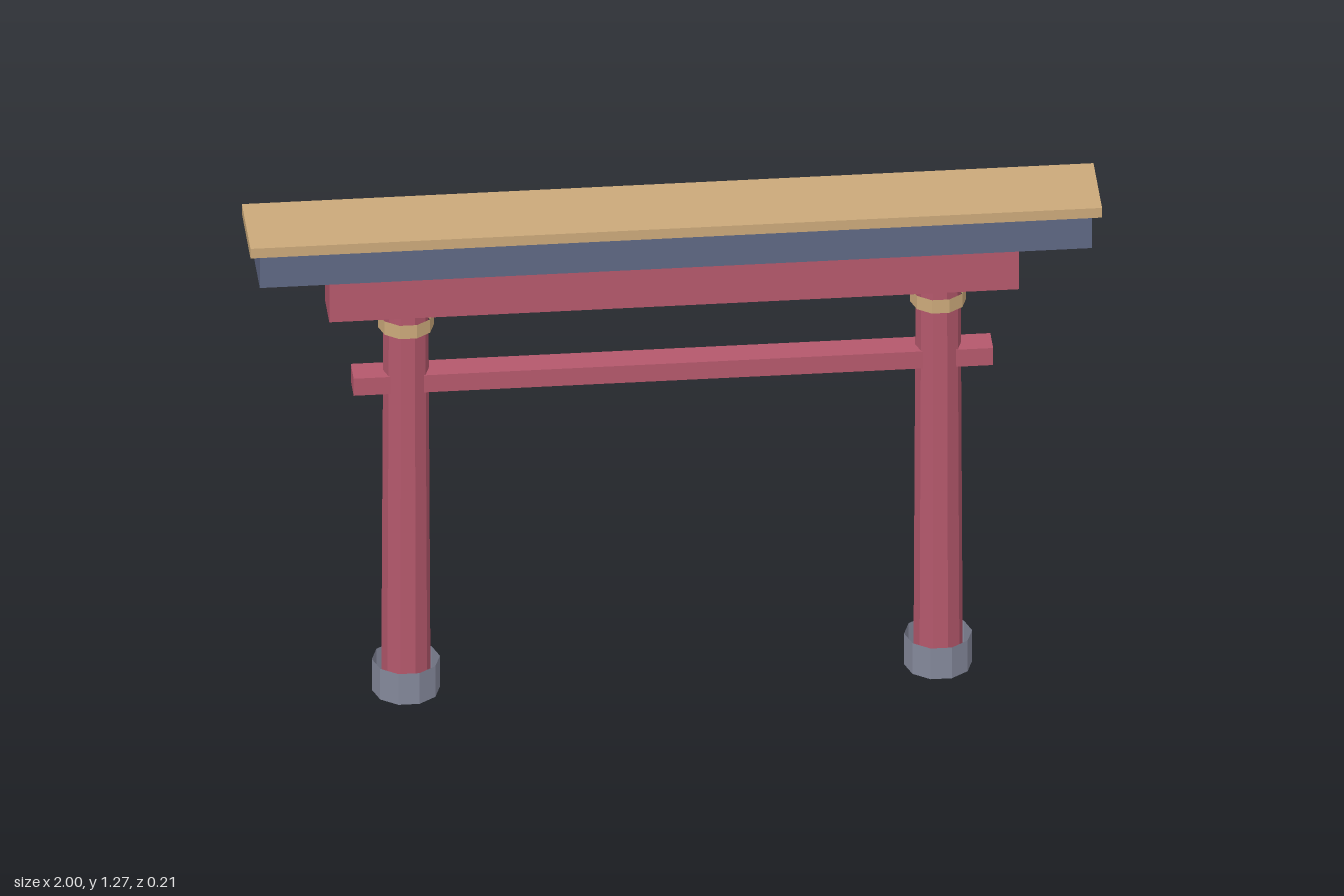
import * as THREE from 'three';

function material(name, color, open = false) {
  const m = new THREE.MeshStandardMaterial({ color, flatShading: true });
  m.name = name;
  if (open) m.side = THREE.DoubleSide;
  return m;
}

export function createModel() {
  const red = material('red paint', 0xb4586c, true);
  const slate = material('slate blue', 0x5f6884);
  const tan = material('tan wood', 0xcba97a, true);
  const stone = material('grey stone', 0x84889a, true);

  const gate = new THREE.Group();
  gate.name = 'gate';

  // Box given by half width, y range and z range
  function beam(name, mat, halfX, y0, y1, z0, z1) {
    const mesh = new THREE.Mesh(new THREE.BoxGeometry(halfX * 2, y1 - y0, z1 - z0), mat);
    mesh.position.set(0, (y0 + y1) / 2, (z0 + z1) / 2);
    mesh.name = name;
    gate.add(mesh);
  }

  // Open ten-sided tube with a corner on the x axis
  function tube(name, mat, rTop, rBottom, y0, y1) {
    const geo = new THREE.CylinderGeometry(rTop, rBottom, y1 - y0, 10, 1, true, Math.PI / 2);
    const mesh = new THREE.Mesh(geo, mat);
    mesh.position.y = (y0 + y1) / 2;
    mesh.name = name;
    return mesh;
  }

  // Posts with stone feet and collars
  for (const side of [-1, 1]) {
    const post = new THREE.Group();
    post.name = side > 0 ? 'leftPost' : 'rightPost';
    post.position.x = side * 0.625;
    post.add(
      tube('shaft', red, 0.053, 0.058, 0, 1.03),
      tube('foot', stone, 0.08, 0.08, 0, 0.083),
      tube('collar', tan, 0.066, 0.066, 0.98, 1.016)
    );
    gate.add(post);
  }

  // Crossbeams and roof
  beam('tieBeam', red, 0.751, 0.817, 0.863, -0.035, 0.035);
  beam('lintel', red, 0.81, 1.029, 1.154, -0.053, 0.053);
  beam('upperLintel', slate, 0.977, 1.154, 1.235, -0.093, 0.093);
  beam('roofBoard', tan, 1, 1.242, 1.268, -0.105, 0.105);

  // Plaque standing just off the back of the lintel
  beam('plaque', tan, 0.17, 1.075, 1.131, -0.074, -0.057);

  return gate;
}
